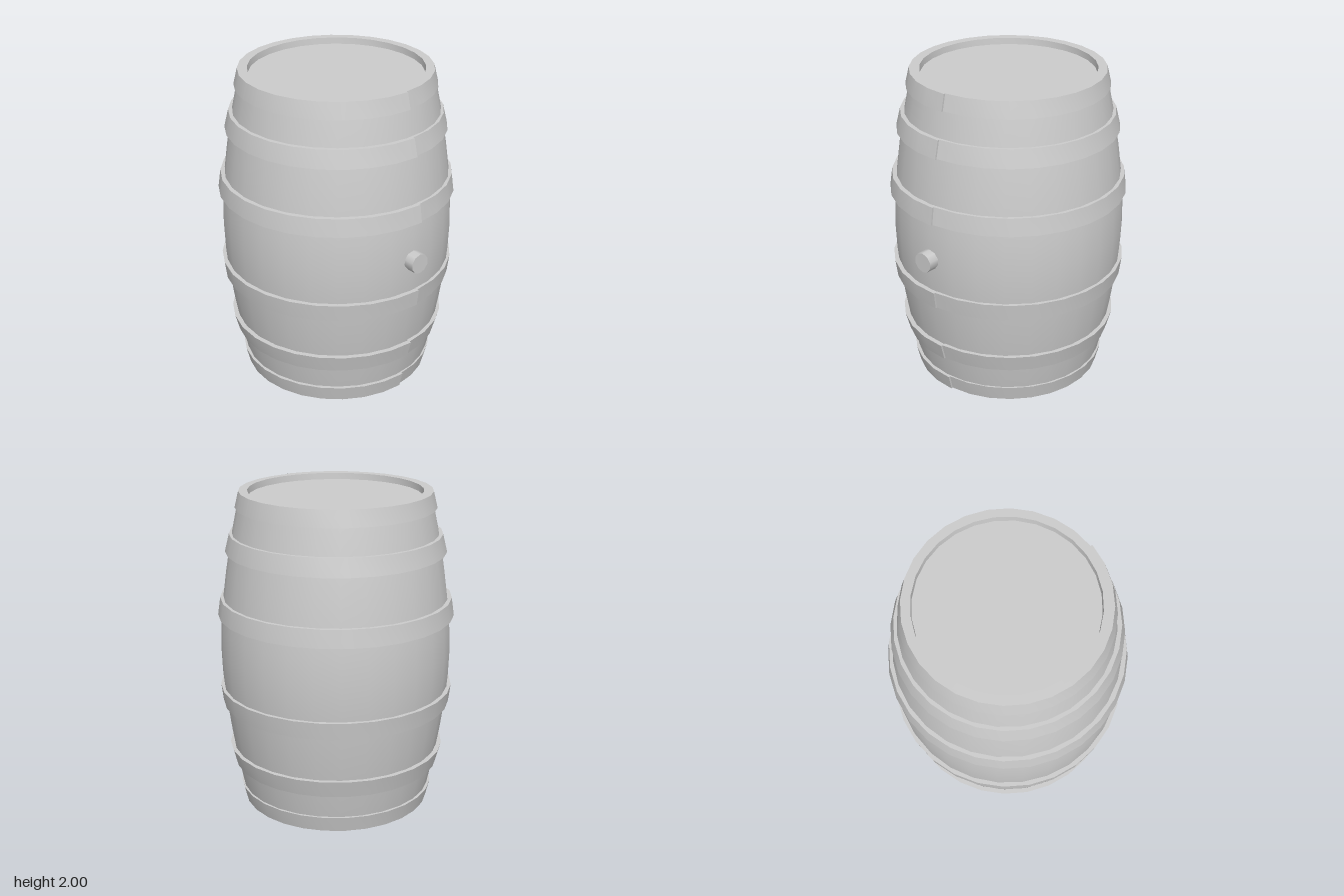
import * as THREE from 'three';
import { toCreasedNormals } from 'three/addons/utils/BufferGeometryUtils.js';

const grey = new THREE.MeshStandardMaterial({ color: 0xcccccc });
const thin = new THREE.MeshStandardMaterial({ color: 0xcccccc, side: THREE.DoubleSide });
const SIDES = 28;
const SEAM = 0.055; // angle of the hoop overlap, just left of the front centre

const toPoints = (list) => list.map(([r, y]) => new THREE.Vector2(r, y));

function addMesh(parent, name, geometry, material = grey) {
  const mesh = new THREE.Mesh(geometry, material);
  mesh.name = name;
  parent.add(mesh);
  return mesh;
}

function lathe(list, start = 0) {
  return new THREE.LatheGeometry(toPoints(list), SIDES, start);
}

// Iron band: radius grows slightly around the barrel so its end overlaps its start
function makeHoop(name, y0, y1, r0, r1) {
  const hoop = new THREE.Group();
  hoop.name = name;
  const t = 0.03, growth = 0.012;
  const profile = [[r0 - t, y0], [r0, y0], [r1, y1], [r1 - t, y1], [r0 - t, y0]];
  const band = lathe(profile, SEAM);
  const pos = band.attributes.position;
  const uv = band.attributes.uv;
  for (let i = 0; i < pos.count; i++) {
    const x = pos.getX(i), z = pos.getZ(i);
    const k = 1 + (growth * (uv.getX(i) - 0.5)) / Math.hypot(x, z);
    pos.setX(i, x * k);
    pos.setZ(i, z * k);
  }
  addMesh(hoop, name + 'Band', toCreasedNormals(band, 0.6));

  // Step face where the band ends
  const cap = new THREE.ShapeGeometry(new THREE.Shape(toPoints(profile.slice(0, 4))));
  cap.translate(growth / 2, 0, 0).rotateY(SEAM - Math.PI / 2);
  addMesh(hoop, name + 'End', cap, thin);
  return hoop;
}

export function createModel() {
  const model = new THREE.Group();
  model.name = 'barrel';
  const cask = new THREE.Group();
  cask.name = 'cask';
  cask.position.z = -0.02;
  model.add(cask);

  // Bulging stave wall with an open rim at each end
  const half = [[0.578, 0], [0.6, 0.1], [0.642, 0.3], [0.675, 0.5], [0.702, 0.7], [0.715, 0.85]];
  const upper = half.map(([r, y]) => [r, 2 - y]).reverse();
  const wall = [[0.53, 0.06], [0.535, 0], ...half, [0.72, 1], ...upper, [0.535, 2], [0.53, 1.94]];
  addMesh(cask, 'staves', toCreasedNormals(lathe(wall), 0.6));

  // Recessed flat heads
  for (const [name, y, tilt] of [['topHead', 1.96, -1], ['bottomHead', 0.04, 1]]) {
    const head = addMesh(cask, name, new THREE.CircleGeometry(0.535, SIDES));
    head.rotation.x = (tilt * Math.PI) / 2;
    head.position.y = y;
  }

  // Hoops, as lower edge, upper edge, lower radius, upper radius
  const hoops = [
    ['bottomRimHoop', 0, 0.1, 0.592, 0.616],
    ['lowerQuarterHoop', 0.26, 0.37, 0.653, 0.682],
    ['lowerBilgeHoop', 0.66, 0.77, 0.718, 0.732],
    ['upperBilgeHoop', 1.23, 1.34, 0.736, 0.72],
    ['upperQuarterHoop', 1.63, 1.74, 0.682, 0.655],
    ['topRimHoop', 1.9, 2, 0.616, 0.592],
  ];
  for (const hoop of hoops) cask.add(makeHoop(...hoop));

  // Round bung on the front
  const bung = new THREE.CylinderGeometry(0.063, 0.063, 0.1, 10);
  bung.rotateX(Math.PI / 2);
  addMesh(model, 'bung', bung).position.set(0, 0.985, 0.71);

  return model;
}
